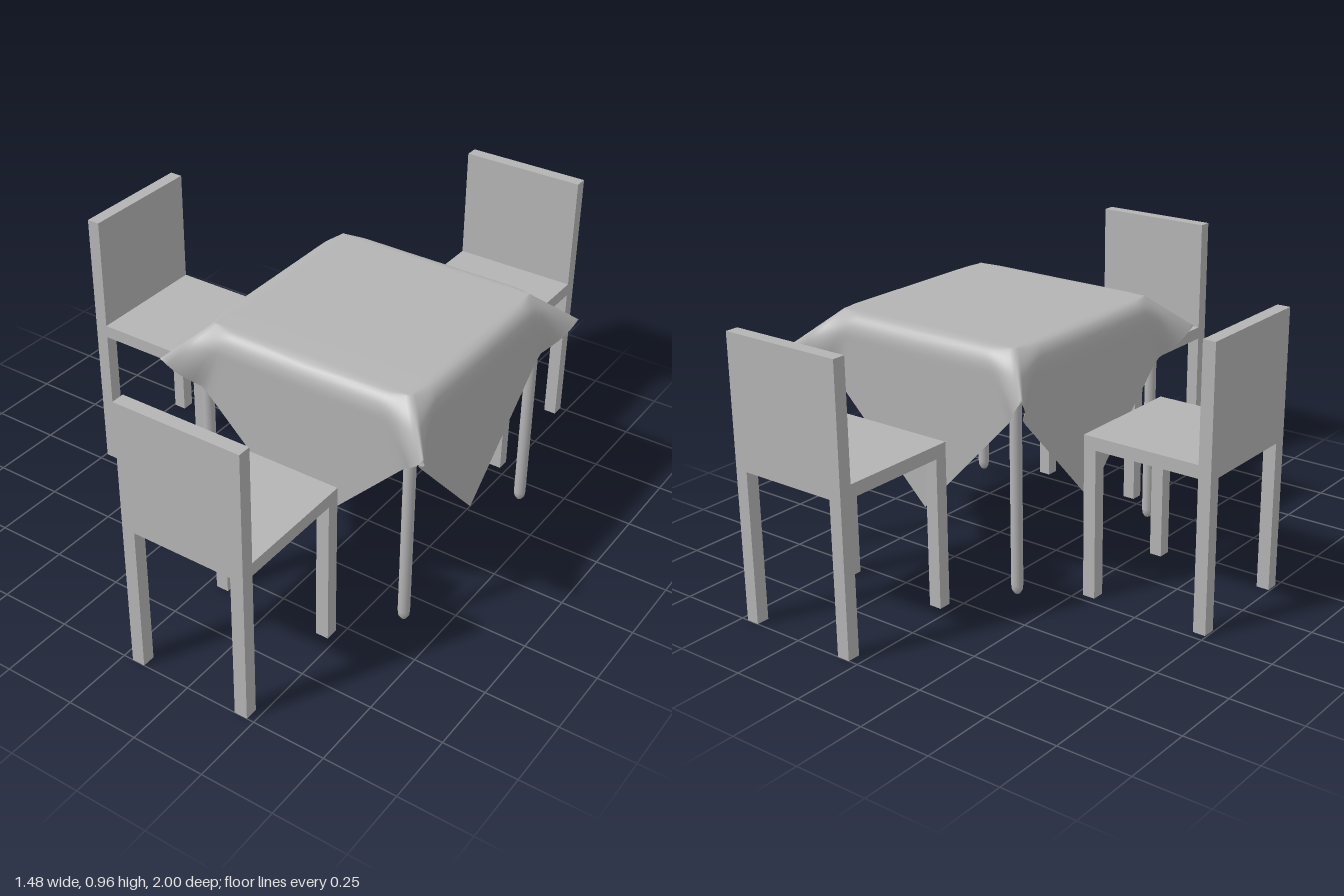
import * as THREE from 'three';
import { mergeGeometries, mergeVertices } from 'three/addons/utils/BufferGeometryUtils.js';

const grey = new THREE.MeshStandardMaterial({ color: 0xb4b4b4 });
grey.name = 'plain grey';
const clothGrey = grey.clone();
clothGrey.name = 'cloth grey';
clothGrey.side = THREE.DoubleSide;

function add(parent, name, geometry, x, y, z, material = grey) {
  const mesh = new THREE.Mesh(geometry, material);
  mesh.name = name;
  mesh.position.set(x, y, z);
  parent.add(mesh);
  return mesh;
}

// Surface from a rule: point(i, j) for a grid of cols x rows cells
function gridSurface(cols, rows, point) {
  const positions = [], index = [];
  for (let j = 0; j <= rows; j++)
    for (let i = 0; i <= cols; i++) positions.push(...point(i / cols, j / rows));
  for (let j = 0; j < rows; j++)
    for (let i = 0; i < cols; i++) {
      const a = j * (cols + 1) + i, b = a + 1, c = a + cols + 1, d = c + 1;
      index.push(a, c, b, b, c, d);
    }
  const geometry = new THREE.BufferGeometry();
  geometry.setAttribute('position', new THREE.Float32BufferAttribute(positions, 3));
  geometry.setIndex(index);
  return geometry;
}

// Square cloth laid diagonally: flat top, four hanging triangles, flared corner folds
function clothGeometry() {
  const inner = 0.36, flare = 0.485, topY = 0.855, n = 48;
  const flap = gridSurface(n, 24, (a, b) => {
    const s = a * 2 - 1, e = Math.abs(s), t = Math.pow(b, 1.5);
    const drop = t * (topY - (0.235 + 0.505 * e));
    const r = Math.max(0, 1 - drop / 0.075);
    const hang = inner + 0.055 * Math.sqrt(1 - r * r) - 0.025 * drop / 0.62;
    const ridge = inner + (flare - inner) * t;
    const f = Math.max(0, (e - 0.78) / 0.22);
    const z = THREE.MathUtils.lerp(hang, ridge, Math.pow(f, 1.3)) + 0.018 * t * Math.sin(Math.PI * f);
    return [s * ridge, topY - drop, z];
  });
  const top = gridSurface(n, n, (a, b) => [(a * 2 - 1) * inner, topY, (b * 2 - 1) * inner]);
  const parts = [top];
  for (let k = 0; k < 4; k++) parts.push(flap.clone().rotateY(k * Math.PI / 2));
  const geometry = mergeVertices(mergeGeometries(parts), 1e-4);
  geometry.computeVertexNormals();
  return geometry;
}

function createTable() {
  const table = new THREE.Group();
  table.name = 'table';
  add(table, 'tableTop', new THREE.BoxGeometry(0.74, 0.03, 0.74), 0, 0.815, 0);
  // Slim round legs with blunt pointed feet
  const profile = [[0, 0.025], [0.01, 0.029], [0.018, 0.042], [0.02, 0.06], [0.02, 0.8]];
  const leg = new THREE.LatheGeometry(profile.map(([x, y]) => new THREE.Vector2(x, y)), 16);
  for (const x of [-1, 1])
    for (const z of [-1, 1]) add(table, 'tableLeg', leg, x * 0.38, 0, z * 0.38);
  add(table, 'tablecloth', clothGeometry(), 0, 0, 0, clothGrey);
  return table;
}

// Chair facing +z, centred on its footprint
function createChair() {
  const chair = new THREE.Group();
  chair.name = 'chair';
  const w = 0.44, d = 0.47, bar = 0.045;
  add(chair, 'seat', new THREE.BoxGeometry(w, bar, d - bar), 0, 0.5425, bar / 2);
  add(chair, 'backrest', new THREE.BoxGeometry(w, 0.443, bar), 0, 0.7415, -(d - bar) / 2);
  const leg = new THREE.BoxGeometry(bar, 0.52, bar);
  for (const x of [-1, 1])
    for (const z of [-1, 1])
      add(chair, z > 0 ? 'frontLeg' : 'backLeg', leg, x * (w - bar) / 2, 0.26, z * (d - bar) / 2);
  return chair;
}

export function createModel() {
  const model = new THREE.Group();
  model.name = 'diningSet';
  const table = createTable();
  table.position.x = 0.253;
  model.add(table);
  // Chairs on three sides of the table
  for (const [x, z, turn] of [[0.255, 0.765, Math.PI], [0.255, -0.765, 0], [-0.51, 0, Math.PI / 2]]) {
    const chair = createChair();
    chair.position.set(x, 0, z);
    chair.rotation.y = turn;
    model.add(chair);
  }
  return model;
}
